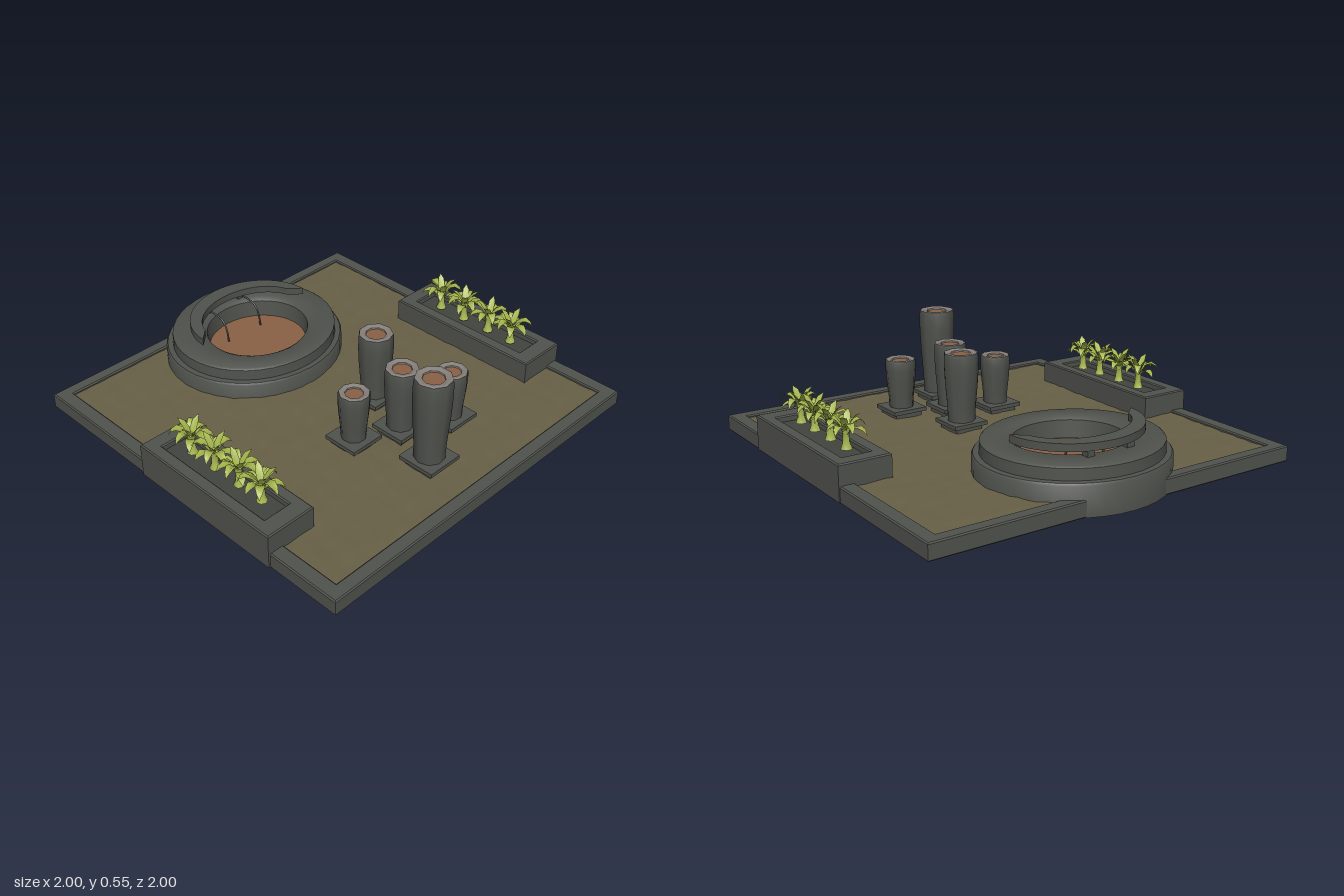
import * as THREE from 'three';
import { toCreasedNormals } from 'three/addons/utils/BufferGeometryUtils.js';

const mat = (name, color, extra = {}) => {
  const m = new THREE.MeshStandardMaterial({ color, ...extra });
  m.name = name;
  return m;
};

export function createModel() {
  const stone = mat('dark stone', 0x50524d);
  const paleStone = mat('worn rim stone', 0x86807c);
  const soil = mat('planter soil', 0x42443f);
  const sand = mat('sand', 0x686047);
  const water = mat('rusty water', 0x8a6146);
  const leaf = mat('leaf green', 0xa6b64c, { side: THREE.DoubleSide });
  const stemGreen = mat('stem green', 0xabba52);

  const model = new THREE.Group();
  model.name = 'courtyardFountain';

  const add = (parent, name, geometry, material, x = 0, y = 0, z = 0) => {
    const mesh = new THREE.Mesh(geometry, material);
    mesh.name = name;
    mesh.position.set(x, y, z);
    parent.add(mesh);
    return mesh;
  };
  const box = (w, h, d) => new THREE.BoxGeometry(w, h, d);
  const rawLathe = (points, segments) => new THREE.LatheGeometry(points.map(([r, y]) => new THREE.Vector2(r, y)), segments);
  const lathe = (points, segments, crease) => toCreasedNormals(rawLathe(points, segments), crease);

  // Rectangular outline on the ground plane, with shape y = -z
  const rect = (path, x0, x1, z0, z1) => {
    path.moveTo(x0, -z1);
    path.lineTo(x1, -z1);
    path.lineTo(x1, -z0);
    path.lineTo(x0, -z0);
    path.closePath();
    return path;
  };
  // Upright frame with a softly bevelled edge; bounds are [x0, x1, z0, z1]
  const frame = (outer, inner, height) => {
    const b = 0.006;
    const grow = ([x0, x1, z0, z1], d) => [x0 - d, x1 + d, z0 - d, z1 + d];
    const shape = rect(new THREE.Shape(), ...grow(outer, -b));
    shape.holes.push(rect(new THREE.Path(), ...grow(inner, b)));
    const g = new THREE.ExtrudeGeometry(shape, {
      depth: height - 2 * b, bevelEnabled: true, bevelThickness: b, bevelSize: b, bevelSegments: 1,
    });
    return g.rotateX(-Math.PI / 2).translate(0, b, 0);
  };

  // Courtyard: stone border, bottom slab and rippled sand
  add(model, 'border', frame([-0.99, 0.99, -0.95, 1], [-0.915, 0.915, -0.885, 0.93], 0.08), stone);
  add(model, 'bottomSlab', box(1.84, 0.05, 1.83), stone, 0, 0.025, 0.025);
  const sandGeo = new THREE.PlaneGeometry(1.84, 1.83, 48, 48).rotateX(-Math.PI / 2);
  const sp = sandGeo.attributes.position;
  for (let i = 0; i < sp.count; i++) {
    const x = sp.getX(i), z = sp.getZ(i);
    sp.setY(i, 0.004 * Math.sin(x * 29 + 3 * Math.sin(z * 13)) * Math.sin(z * 33 + 2 * Math.sin(x * 17)));
  }
  sandGeo.computeVertexNormals();
  add(model, 'sandFloor', sandGeo, sand, 0, 0.068, 0.022);

  // Round stepped basin, its bowl set slightly forward
  const basin = new THREE.Group();
  basin.name = 'basin';
  model.add(basin);
  const bowlShift = 0.025;
  const basinRing = rawLathe([
    [0.432, 0], [0.432, 0.142], [0.425, 0.152], [0.4, 0.154], [0.398, 0.208], [0.388, 0.216],
    [0.27, 0.216], [0.247, 0.2], [0.235, 0.09],
  ], 40);
  const bp = basinRing.attributes.position;
  for (let i = 0; i < bp.count; i++) {
    if (Math.hypot(bp.getX(i), bp.getZ(i)) < 0.3) bp.setZ(i, bp.getZ(i) + bowlShift);
  }
  add(basin, 'basinRing', toCreasedNormals(basinRing, 0.8), stone, -0.002, 0, -0.57).scale.x = 1.08;
  const pool = new THREE.CircleGeometry(0.245, 40).rotateX(-Math.PI / 2);
  add(basin, 'poolWater', pool, water, -0.002, 0.115, -0.57 + bowlShift).scale.x = 1.08;

  // Raised crescent slab behind the pool, carried by two blocks with curved spouts
  const crescent = new THREE.Shape();
  crescent.absellipse(0, 0, 0.342, 0.308, 0, Math.PI, false);
  crescent.absellipse(0, 0.01, 0.285, 0.22, Math.PI * 0.93, Math.PI * 0.07, true);
  crescent.closePath();
  const crescentGeo = new THREE.ExtrudeGeometry(crescent, { depth: 0.037, bevelEnabled: false, curveSegments: 28 });
  crescentGeo.rotateX(-Math.PI / 2);
  add(basin, 'crescentSlab', toCreasedNormals(crescentGeo, 0.6), stone, -0.005, 0.245, -0.56);
  for (const x of [-0.11, 0.11]) {
    add(basin, 'slabSupport', box(0.04, 0.04, 0.04), stone, x, 0.228, -0.82);
    const path = new THREE.CatmullRomCurve3([
      [0.238, -0.82], [0.236, -0.75], [0.222, -0.69], [0.17, -0.66], [0.11, -0.65],
    ].map(([y, z]) => new THREE.Vector3(x, y, z)));
    add(basin, 'spout', new THREE.TubeGeometry(path, 14, 0.005, 6), stone);
  }

  // Five water pillars on square plates: x, z, top height, widest radius
  const pillars = [
    [0.107, 0.18, 0.455, 0.087], [-0.21, 0.345, 0.36, 0.077], [0.005, 0.44, 0.435, 0.083],
    [0.233, 0.55, 0.36, 0.078], [-0.073, 0.69, 0.55, 0.092],
  ];
  pillars.forEach(([x, z, top, r], i) => {
    const pillar = new THREE.Group();
    pillar.name = 'pillar' + (i + 1);
    pillar.position.set(x, 0, z);
    model.add(pillar);
    const size = i === 4 ? 0.195 : 0.185;
    add(pillar, 'foot', box(size * 0.8, 0.04, size * 0.8), stone, 0, 0.08, 0);
    add(pillar, 'plate', box(size, 0.02, size), stone, 0, 0.102, 0);
    const h = top - 0.11;
    const body = lathe([
      [r * 0.8, 0], [r * 0.83, h * 0.2], [r * 0.95, h * 0.55], [r, h * 0.8], [r * 0.99, h * 0.96], [r * 0.95, h],
    ], 9, 0.9);
    add(pillar, 'body', body, stone, 0, 0.11, 0).rotation.y = i;
    const rim = lathe([[r * 0.95, 0], [r * 0.82, 0.003], [r * 0.58, -0.003], [r * 0.54, -0.02]], 9, 0.4);
    add(pillar, 'rim', rim, paleStone, 0, top, 0).rotation.y = i;
    const fill = new THREE.CircleGeometry(r * 0.6, 9).rotateX(-Math.PI / 2);
    add(pillar, 'pillarWater', fill, water, 0, top - 0.01, 0).rotation.y = i;
  });

  // Softly folded leaf strip: each section is [reach, height, half width]
  const leafGeometry = (sections) => {
    const pos = [], idx = [];
    sections.forEach(([reach, y, w], i) => {
      pos.push(reach, y + w * 0.25, -w, reach, y, 0, reach, y + w * 0.25, w);
      if (i === 0) return;
      for (let j = 0; j < 2; j++) {
        const a = (i - 1) * 3 + j, b = a + 3;
        idx.push(a, a + 1, b, a + 1, b + 1, b);
      }
    });
    const g = new THREE.BufferGeometry();
    g.setAttribute('position', new THREE.Float32BufferAttribute(pos, 3));
    g.setIndex(idx);
    g.computeVertexNormals();
    return g;
  };
  const outerLeaf = leafGeometry([
    [0.006, 0.075, 0.008], [0.035, 0.112, 0.02], [0.065, 0.122, 0.021], [0.09, 0.11, 0.013], [0.104, 0.088, 0.001],
  ]);
  const innerLeaf = leafGeometry([
    [0.004, 0.08, 0.008], [0.018, 0.118, 0.017], [0.042, 0.15, 0.015], [0.068, 0.168, 0.001],
  ]);
  const stemGeo = lathe([[0.027, 0], [0.018, 0.025], [0.015, 0.065], [0.022, 0.1], [0, 0.105]], 7, 1);

  const makePlant = (parent, x, z, turn) => {
    const plant = new THREE.Group();
    plant.name = 'plant';
    plant.position.set(x, 0.168, z);
    parent.add(plant);
    add(plant, 'stem', stemGeo, stemGreen);
    for (let i = 0; i < 8; i++) {
      const angle = (i / 8) * Math.PI * 2 + turn;
      const m = add(plant, 'outerLeaf', outerLeaf, leaf);
      m.rotation.y = angle;
      // Leaves reach further along the trough than across it
      m.scale.set(0.85 + 0.2 * Math.abs(Math.sin(angle)), 1 + 0.14 * Math.sin(i * 2.3), 1);
    }
    for (let i = 0; i < 4; i++) {
      add(plant, 'innerLeaf', innerLeaf, leaf).rotation.y = (i / 4) * Math.PI * 2 + 0.3 + turn;
    }
  };

  // Planter troughs along both sides
  [['rightPlanter', -0.868], ['leftPlanter', 0.863]].forEach(([name, x], side) => {
    const planter = new THREE.Group();
    planter.name = name;
    planter.position.x = x;
    model.add(planter);
    add(planter, 'trough', frame([-0.132, 0.132, -0.23, 0.62], [-0.068, 0.072, -0.15, 0.53], 0.18), stone);
    add(planter, 'soil', box(0.18, 0.14, 0.72), soil, 0, 0.08, 0.19);
    [-0.035, 0.12, 0.28, 0.425].forEach((z, i) => makePlant(planter, side ? -0.011 : 0.013, z, i * 1.3 + side * 0.6));
  });

  return model;
}
